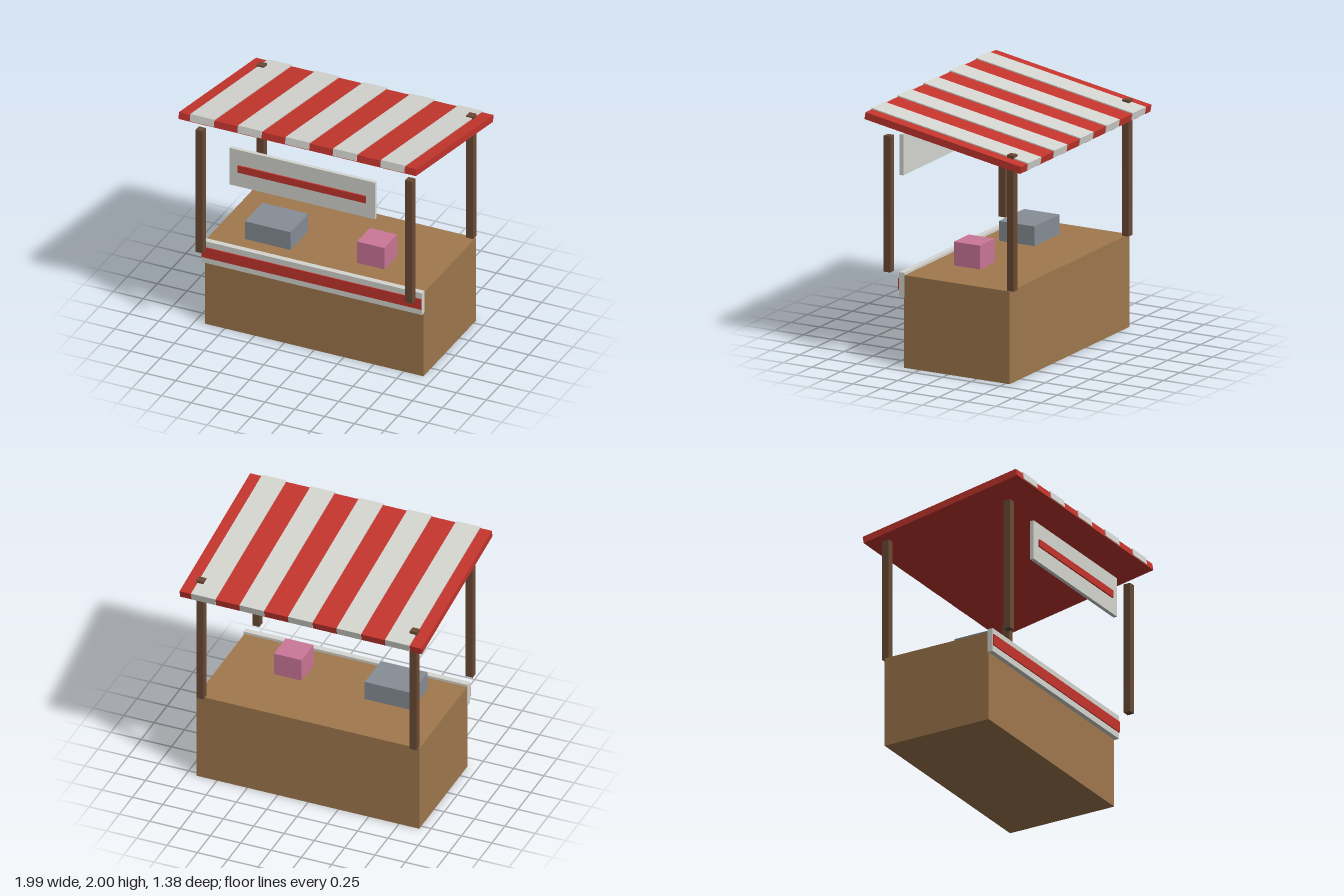
import * as THREE from 'three';

function mat(name, color) {
  const m = new THREE.MeshStandardMaterial({ color });
  m.name = name;
  return m;
}

export function createModel() {
  const wood = mat('wood', 0xa0784e);
  const darkWood = mat('dark wood', 0x6b4a34);
  const red = mat('red', 0xc4352d);
  const white = mat('off white', 0xd6d6d1);
  const grey = mat('grey', 0x878e96);
  const pink = mat('pink', 0xcc7799);

  const model = new THREE.Group();
  model.name = 'marketStall';

  // Box given by its lower and upper limits on each axis
  function box(name, material, [x0, x1], [y0, y1], [z0, z1], parent = model) {
    const mesh = new THREE.Mesh(new THREE.BoxGeometry(x1 - x0, y1 - y0, z1 - z0), material);
    mesh.position.set((x0 + x1) / 2, (y0 + y1) / 2, (z0 + z1) / 2);
    mesh.name = name;
    parent.add(mesh);
    return mesh;
  }

  // Counter with its front trim
  box('counter', wood, [-0.918, 0.918], [0, 0.73], [-0.538, 0.385]);
  box('counterTrim', white, [-0.924, 0.924], [0.56, 0.75], [0.378, 0.424]);
  box('counterTrimStripe', red, [-0.922, 0.922], [0.61, 0.70], [0.415, 0.433]);

  // Four corner posts
  const half = 0.029;
  for (const x of [-0.88, 0.88]) {
    for (const z of [-0.538, 0.538]) {
      box(z > 0 ? 'frontPost' : 'backPost', darkWood,
        [x - half, x + half], [0.73, 1.802], [z - half, z + half]);
    }
  }

  // Hanging sign board
  box('signBoard', white, [-0.61, 0.61], [1.414, 1.735], [0.566, 0.597]);
  box('signStripe', red, [-0.537, 0.537], [1.542, 1.602], [0.59, 0.609]);

  // Sloping awning, high at the front
  const awning = new THREE.Group();
  awning.name = 'awning';
  awning.position.set(0, 1.844, 0);
  awning.rotation.x = -0.176;
  model.add(awning);
  box('awningPanel', red, [-0.997, 0.997], [-0.028, 0.028], [-0.69, 0.69], awning);
  for (let i = -2; i <= 2; i++) {
    const x = i * 0.4;
    box('awningStripe', white, [x - 0.1, x + 0.1], [-0.022, 0.037], [-0.696, 0.696], awning);
  }

  // Goods on the counter
  box('greyCrate', grey, [-0.655, -0.27], [0.73, 0.885], [-0.077, 0.233]);
  box('pinkBox', pink, [0.267, 0.496], [0.73, 0.917], [-0.037, 0.19]);

  return model;
}
